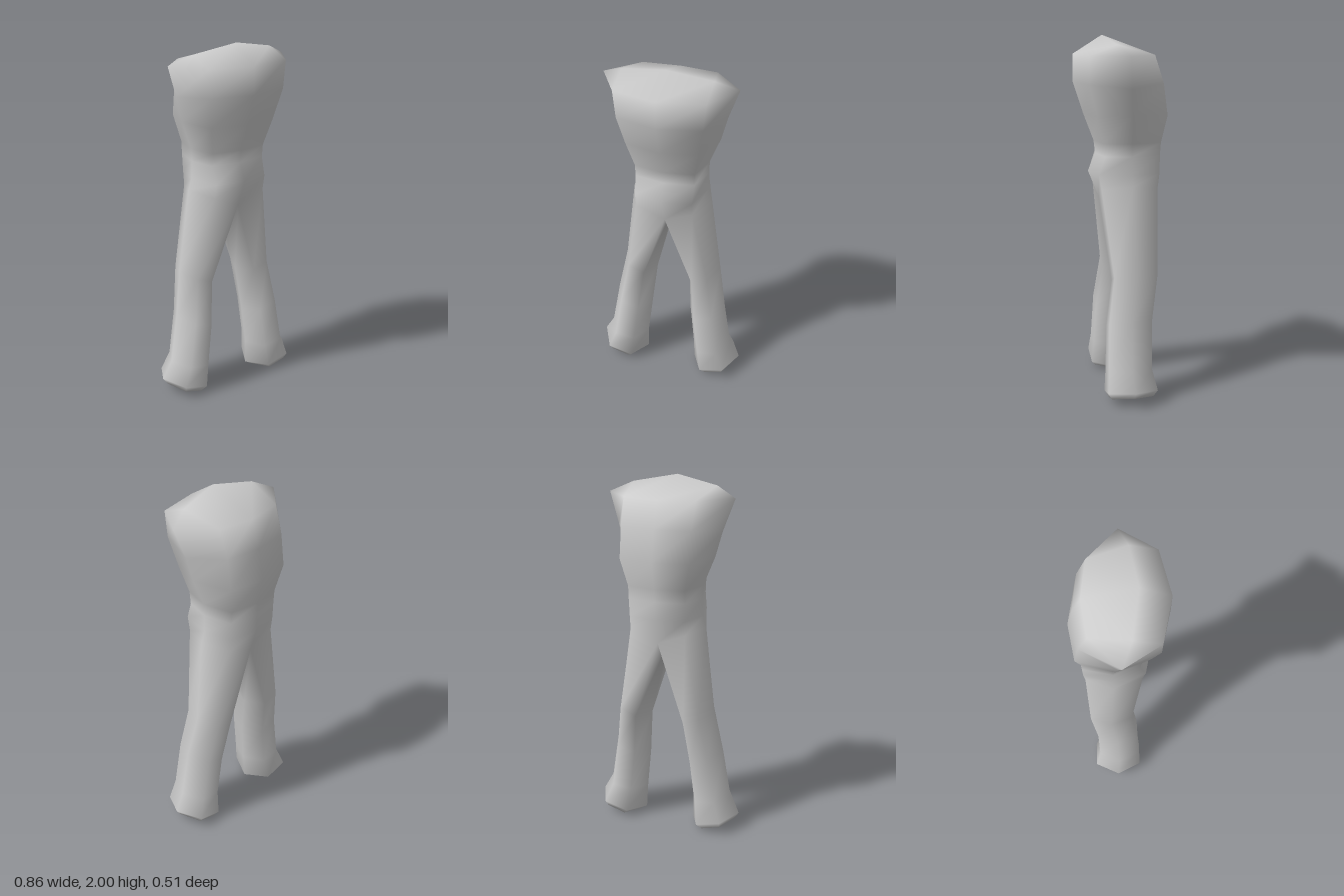
import * as THREE from 'three';

export function createModel() {
  const positions = [];
  const indices = [];
  const vertex = (x, y, z) => positions.push(x, y, z) / 3 - 1;
  const tri = (a, b, c) => indices.push(a, b, c);
  const quad = (a, b, c, d) => { tri(a, b, c); tri(a, c, d); };
  // Joins a lower loop to an upper loop, both counter-clockwise from above
  const bridge = (low, up) => low.forEach((_, i) => {
    const j = (i + 1) % low.length;
    quad(low[i], low[j], up[j], up[i]);
  });

  // Eight-sided torso loop: front, left front, left, left back, back, then mirrored.
  // Each point is [x, y, z].
  const torsoRing = (f, fl, l, bl, b) => [
    f, fl, l, bl, b, ...[bl, l, fl].map(([x, y, z]) => [-x, y, z]),
  ].map(p => vertex(...p));

  // Torso from hips to shoulders
  const rings = [
    torsoRing([0, 1.11, 0.12], [0.16, 1.18, 0.13], [0.225, 1.2, -0.03], [0.16, 1.18, -0.18], [0, 1.12, -0.18]),
    torsoRing([0, 1.26, 0.18], [0.16, 1.26, 0.145], [0.205, 1.26, -0.03], [0.16, 1.26, -0.19], [0, 1.26, -0.22]),
    torsoRing([0, 1.36, 0.14], [0.165, 1.36, 0.112], [0.202, 1.36, -0.03], [0.165, 1.36, -0.19], [0, 1.36, -0.222]),
    torsoRing([0, 1.43, 0.148], [0.165, 1.43, 0.12], [0.205, 1.43, -0.03], [0.165, 1.43, -0.195], [0, 1.43, -0.225]),
    torsoRing([0, 1.58, 0.205], [0.2, 1.58, 0.16], [0.268, 1.59, -0.02], [0.2, 1.58, -0.222], [0, 1.58, -0.255]),
    torsoRing([0, 1.75, 0.26], [0.23, 1.75, 0.205], [0.305, 1.73, -0.01], [0.2, 1.75, -0.2], [0, 1.75, -0.226]),
    torsoRing([0, 1.9, 0.26], [0.245, 1.9, 0.205], [0.365, 1.9, 0.01], [0.205, 1.9, -0.15], [0, 1.895, -0.178]),
  ];
  for (let i = 1; i < rings.length; i++) bridge(rings[i - 1], rings[i]);

  // Raised top between the shoulders
  const [F, FL, L, BL, B, BR, R, FR] = rings[rings.length - 1];
  const peak = vertex(0, 2, 0.1);
  const peakL = vertex(0.245, 1.955, 0.06);
  const peakR = vertex(-0.245, 1.955, 0.06);
  quad(F, FL, peakL, peak);
  tri(FL, L, peakL);
  tri(L, BL, peakL);
  quad(BL, B, peak, peakL);
  quad(B, BR, peakR, peak);
  tri(BR, R, peakR);
  tri(R, FR, peakR);
  quad(FR, F, peak, peakR);

  // Six-sided legs, growing from each half of the hip loop and the crotch.
  // [outer x, outer y, inner x, inner y, front z, back z]
  const legSections = [
    [0.285, 0.72, 0.098, 0.65, 0.075, -0.165],
    [0.33, 0.47, 0.12, 0.4, 0.11, -0.127],
    [0.375, 0.2, 0.145, 0.17, 0.12, -0.12],
    [0.43, 0.1, 0.15, 0.03, 0.13, -0.145],
    [0.402, 0.06, 0.195, 0.004, 0.11, -0.122],
  ];
  const hip = rings[0];
  const crotch = vertex(0, 1.08, -0.03);
  for (const side of [1, -1]) {
    // Mirrored loops are reversed so faces still point outwards
    const orient = ring => (side > 0 ? ring : ring.reverse());
    const top = side > 0 ? [0, 1, 2, 3, 4] : [0, 7, 6, 5, 4];
    let upper = orient([...top.map(i => hip[i]), crotch]);
    for (const [ox, oy, ix, iy, zf, zb] of legSections) {
      const mid = (zf + zb) / 2;
      const at = (t, z) => vertex(side * (ix + (ox - ix) * t), iy + (oy - iy) * t, z);
      const lower = orient([
        at(0.25, zf), at(0.75, zf), at(1, mid), at(0.75, zb), at(0.25, zb), at(0, mid),
      ]);
      bridge(lower, upper);
      upper = lower;
    }
    // Sole
    for (let i = 1; i < 5; i++) tri(upper[0], upper[i + 1], upper[i]);
  }

  const geometry = new THREE.BufferGeometry();
  geometry.setAttribute('position', new THREE.Float32BufferAttribute(positions, 3));
  geometry.setIndex(indices);
  geometry.computeVertexNormals();

  const grey = new THREE.MeshStandardMaterial({ color: 0xcccccc });
  grey.name = 'light grey';
  const body = new THREE.Mesh(geometry, grey);
  body.name = 'torsoAndLegs';

  const group = new THREE.Group();
  group.name = 'figure';
  group.add(body);
  return group;
}
